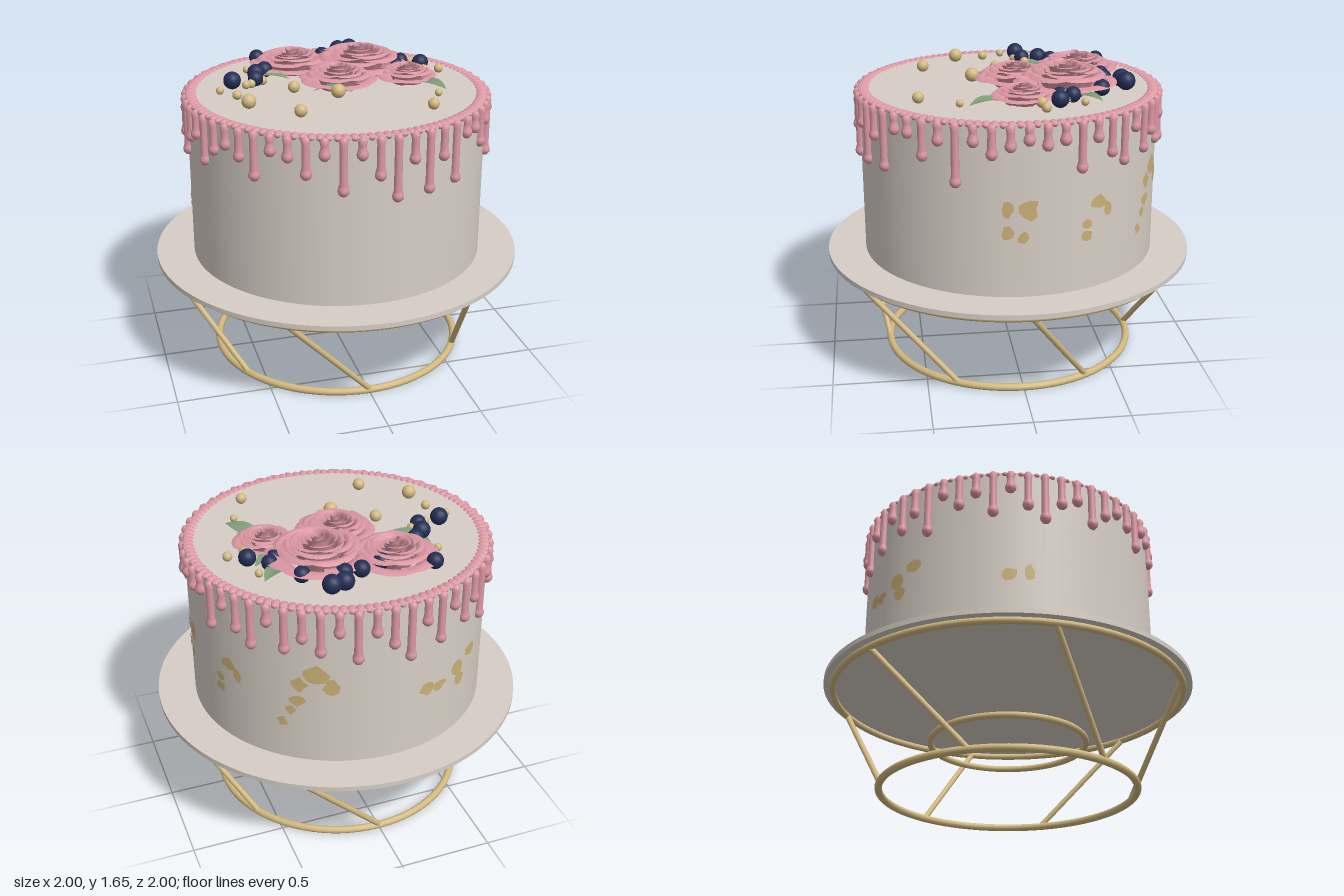
import * as THREE from 'three';

const mat = (name, color, side = THREE.FrontSide) => {
  const m = new THREE.MeshStandardMaterial({ color, side });
  m.name = name;
  return m;
};

export function createModel() {
  const ivory = mat('ivory', 0xd6cec5);
  const gold = mat('gold', 0xd2b980);
  const leafGold = mat('goldLeaf', 0xcbb076, THREE.DoubleSide);
  const pink = mat('pinkIcing', 0xdc98a3);
  const petalPink = mat('petalPink', 0xda97a2, THREE.DoubleSide);
  const navy = mat('navy', 0x232e54);
  const green = mat('green', 0x7f9d78, THREE.DoubleSide);

  let seed = 7;
  const rand = () => (seed = (seed * 16807) % 2147483647) / 2147483647;

  const cake = new THREE.Group();
  cake.name = 'cakeOnStand';
  const group = (name) => {
    const g = new THREE.Group();
    g.name = name;
    cake.add(g);
    return g;
  };
  const add = (parent, name, geo, material, x = 0, y = 0, z = 0) => {
    const m = new THREE.Mesh(geo, material);
    m.name = name;
    m.position.set(x, y, z);
    parent.add(m);
    return m;
  };

  // Wire stand: three hoops and six slanted struts
  const stand = group('stand');
  const hoop = (name, r, tube, y) =>
    add(stand, name, new THREE.TorusGeometry(r, tube, 12, 80).rotateX(Math.PI / 2), gold, 0, y, 0);
  hoop('bottomHoop', 0.68, 0.02, 0.022);
  hoop('middleHoop', 0.418, 0.017, 0.292);
  hoop('topHoop', 0.95, 0.018, 0.555);
  const polar = (deg, r, y) => {
    const a = THREE.MathUtils.degToRad(deg);
    return new THREE.Vector3(r * Math.cos(a), y, r * Math.sin(a));
  };
  for (let i = 0; i < 6; i++) {
    const path = new THREE.LineCurve3(polar(i * 60 - 30, 0.68, 0.025), polar(i * 60, 0.95, 0.555));
    add(stand, 'strut', new THREE.TubeGeometry(path, 1, 0.0155, 10), gold);
  }

  // Plate and cake body
  add(cake, 'plate', new THREE.CylinderGeometry(1, 1, 0.026, 96), ivory, 0, 0.584, 0);
  add(cake, 'cakeBody', new THREE.CylinderGeometry(0.795, 0.795, 0.893, 96), ivory, 0, 1.0405, 0);

  // Piped bead border
  const border = group('beadBorder');
  const beadGeo = new THREE.SphereGeometry(1, 10, 8).scale(0.024, 0.018, 0.033);
  const beads = 120;
  for (let i = 0; i < beads; i++) {
    const a = (i / beads) * Math.PI * 2;
    add(border, 'bead', beadGeo, pink, 0.772 * Math.sin(a), 1.48, 0.772 * Math.cos(a)).rotation.y = a;
  }

  // Icing drips, bottom heights counted from the front towards +x
  const drips = group('drips');
  const bottoms = [
    1.26, 1.14, 1.32, 1.15, 1.3, 1.16, 1.37, 1.37, 1.27, 1.36, 1.16, 1.37, 1.31, 1.35,
    1.38, 1.35, 1.37, 1.22, 1.36, 1.27, 1.21, 1.36, 1.23, 1.3, 1.23, 1.34, 1.19, 1.33,
    1.25, 1.16, 1.33, 1.2, 1.35, 1.24, 1.31, 1.17, 1.36, 1.28, 1.34, 1.22, 1.36, 1.26,
    1.19, 1.29, 1.33, 1.22, 1.3, 1.35, 1.31, 1.23, 1.37, 1.35, 1.27, 1.37, 1.19, 1.37];
  bottoms.forEach((b, i) => {
    const a = (i / bottoms.length) * Math.PI * 2;
    const profile = [[0, b], [0.016, b + 0.005], [0.027, b + 0.018], [0.03, b + 0.032], [0.027, b + 0.045],
      [0.021, b + 0.062], [0.02, 1.45], [0.024, 1.468], [0.016, 1.485], [0, 1.49]];
    const geo = new THREE.LatheGeometry(profile.map(([r, y]) => new THREE.Vector2(r, y)), 12);
    add(drips, 'drip', geo, pink, 0.802 * Math.sin(a), 0, 0.802 * Math.cos(a));
  });

  // Gold leaf flakes wrapped on the side: angle from front towards +x, height, width, height
  const flakes = group('goldFlakes');
  const flake = (deg, y, w, h) => {
    const n = 9, pos = [], idx = [];
    const put = (dx, dy) => {
      const a = THREE.MathUtils.degToRad(deg) + dx / 0.8;
      pos.push(0.8 * Math.sin(a), y + dy, 0.8 * Math.cos(a));
    };
    put(0, 0);
    for (let i = 0; i < n; i++) {
      const t = (i / n) * Math.PI * 2, s = 0.65 + 0.5 * rand();
      put((Math.cos(t) * s * w) / 2, (Math.sin(t) * s * h) / 2);
      idx.push(0, 1 + i, 1 + ((i + 1) % n));
    }
    const g = new THREE.BufferGeometry();
    g.setAttribute('position', new THREE.Float32BufferAttribute(pos, 3));
    g.setIndex(idx);
    g.computeVertexNormals();
    add(flakes, 'goldFlake', g, leafGold);
  };
  [[90, 1.06, 0.11, 0.12], [82.5, 1.06, 0.07, 0.09], [82.5, 0.94, 0.07, 0.07], [88, 0.91, 0.06, 0.07],
    [117, 1.05, 0.1, 0.08], [121, 1.01, 0.06, 0.09], [112, 0.95, 0.07, 0.06], [112, 0.885, 0.07, 0.06],
    [152, 1.12, 0.14, 0.12], [146, 1.06, 0.1, 0.09], [158, 1.06, 0.09, 0.1], [145, 0.96, 0.1, 0.08],
    [143, 0.9, 0.06, 0.06], [140, 0.82, 0.06, 0.06], [194, 0.95, 0.1, 0.09], [200, 0.94, 0.11, 0.07],
    [210, 0.97, 0.1, 0.09], [212, 0.9, 0.1, 0.08], [219, 1.03, 0.1, 0.08], [257, 0.89, 0.09, 0.08],
    [264, 0.9, 0.06, 0.1]].forEach((f) => flake(...f));

  // Roses: rings of cupped petals, wide and curled outside, tall and tight inside
  const petal = (r0, r1, h, bend, span, turn, dip) => {
    const g = new THREE.PlaneGeometry(2, 1, 10, 6), p = g.attributes.position;
    for (let i = 0; i < p.count; i++) {
      const u = p.getX(i), t = (p.getY(i) + 0.5) * (1 - dip * Math.abs(u) ** 3);
      const a = turn + (u * span) / 2, r = r0 + (r1 - r0) * t + 0.05 * r1 * u;
      p.setXYZ(i, r * Math.sin(a), h * Math.sin(t * bend), r * Math.cos(a));
    }
    g.computeVertexNormals();
    return g;
  };
  const rose = (x, z, R, H) => {
    const g = group('rose');
    g.position.set(x, 1.487, z);
    const layers = 7;
    for (let i = 0; i < layers; i++) {
      const f = i / (layers - 1), n = i < 4 ? 5 : 4;
      const r1 = R * (1 - 0.88 * f ** 0.85), h = H * (0.42 + 0.58 * Math.sqrt(f));
      const bend = Math.PI * (0.72 - 0.22 * f), span = ((Math.PI * 2) / n) * 1.3;
      for (let k = 0; k < n; k++) {
        const turn = (k / n) * Math.PI * 2 + i * 0.75;
        const geo = petal(r1 * 0.5, r1, h * (0.94 + 0.12 * rand()), bend, span, turn, 0.15 + 0.2 * f);
        add(g, 'petal', geo, petalPink);
      }
    }
  };
  rose(-0.16, -0.39, 0.23, 0.125);
  rose(0.2, -0.27, 0.27, 0.16);
  rose(0.02, -0.03, 0.21, 0.12);
  rose(0.4, -0.02, 0.165, 0.1);

  // Leaves: folded blades from stem (x, z) to tip (x, z)
  const leaves = group('leaves');
  const leaf = (x0, z0, x1, z1, width) => {
    const dx = x1 - x0, dz = z1 - z0, len = Math.hypot(dx, dz);
    const g = new THREE.PlaneGeometry(2, 1, 4, 10), p = g.attributes.position;
    for (let i = 0; i < p.count; i++) {
      const u = p.getX(i), t = p.getY(i) + 0.5;
      const w = (width / 2) * Math.sin(Math.PI * t ** 0.85);
      p.setXYZ(i, u * w, 0.035 * Math.sin(Math.PI * t * 0.8) + 0.2 * Math.abs(u) * w, t * len);
    }
    g.computeVertexNormals();
    add(leaves, 'leaf', g, green, x0, 1.492, z0).rotation.y = Math.atan2(dx, dz);
  };
  leaf(0.41, 0.04, 0.53, 0.26, 0.11);
  leaf(-0.14, 0.04, 0.04, 0.18, 0.1);
  leaf(-0.42, -0.28, -0.22, -0.14, 0.1);
  leaf(0.12, -0.38, 0.16, -0.58, 0.09);
  leaf(0.38, -0.28, 0.52, -0.41, 0.09);
  leaf(0.38, -0.16, 0.52, -0.25, 0.08);

  // Berries and pearls: x, z, radius
  const scatter = (name, material, list) => {
    const g = group(name + 'Group');
    list.forEach(([x, z, r]) => add(g, name, new THREE.SphereGeometry(r, 16, 12), material, x, 1.492 + r, z));
  };
  scatter('berry', navy, [[-0.32, -0.54, 0.043], [-0.33, -0.28, 0.044], [-0.39, -0.22, 0.047],
    [-0.41, -0.13, 0.042], [-0.54, -0.11, 0.047], [-0.07, -0.45, 0.042], [0.05, -0.49, 0.044],
    [0.14, -0.49, 0.044], [0.17, -0.58, 0.048], [0.24, -0.59, 0.049], [0.34, -0.44, 0.043],
    [0.45, -0.27, 0.041], [0.54, -0.19, 0.045], [0.41, -0.21, 0.036]]);
  scatter('pearl', gold, [[-0.62, -0.03, 0.021], [-0.55, 0.08, 0.025], [-0.52, 0.24, 0.038],
    [-0.3, 0.44, 0.033], [-0.24, 0.04, 0.032], [-0.04, 0.19, 0.038], [0.37, 0.5, 0.03],
    [0.47, 0.3, 0.02], [0.53, -0.1, 0.028], [0.62, -0.11, 0.025], [0.52, -0.32, 0.021],
    [-0.41, -0.38, 0.021], [-0.47, -0.09, 0.022], [-0.44, -0.1, 0.024], [-0.37, -0.14, 0.025],
    [-0.26, -0.4, 0.019]]);

  return cake;
}
